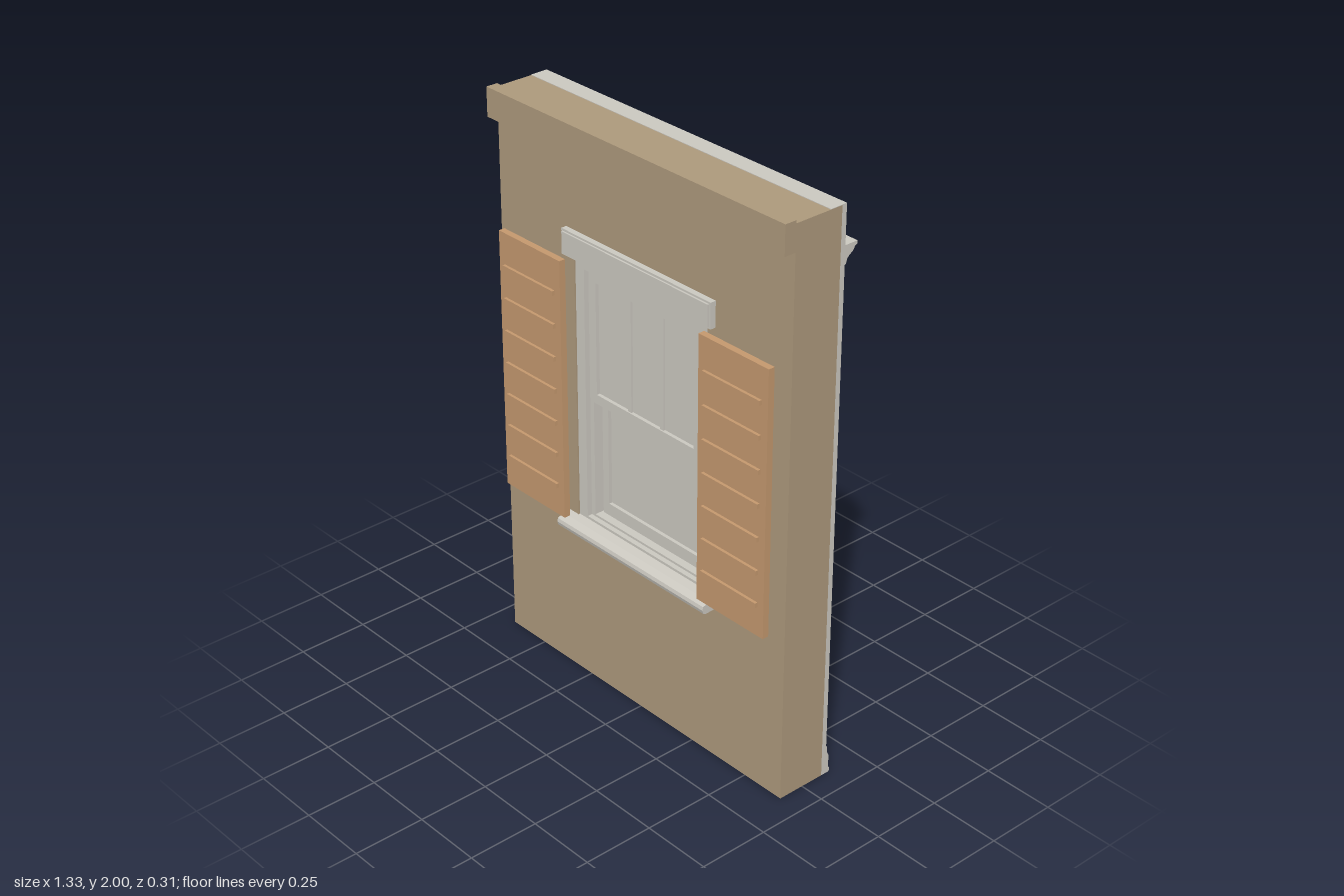
import * as THREE from 'three';

export function createModel() {
  const group = new THREE.Group();
  const mat = (name, color) => {
    const m = new THREE.MeshStandardMaterial({ color });
    m.name = name;
    return m;
  };
  const siding = mat('tan siding', 0xad997c);
  const white = mat('off-white trim', 0xcbc8c0);
  const wood = mat('orange shutter wood', 0xc4986e);

  const add = (name, geometry, material) => {
    const mesh = new THREE.Mesh(geometry, material);
    mesh.name = name;
    group.add(mesh);
    return mesh;
  };
  // Box given by its limits on each axis
  const box = (name, m, x0, x1, y0, y1, z0, z1) => {
    const g = new THREE.BoxGeometry(x1 - x0, y1 - y0, z1 - z0);
    g.translate((x0 + x1) / 2, (y0 + y1) / 2, (z0 + z1) / 2);
    return add(name, g, m);
  };
  // Symmetric rectangular frame: outer and inner are [halfWidth, bottom, top]
  const rect = (P, [w, b, t]) => {
    const p = new P();
    p.moveTo(-w, b); p.lineTo(w, b); p.lineTo(w, t); p.lineTo(-w, t); p.closePath();
    return p;
  };
  const frame = (name, m, outer, inner, z0, z1) => {
    const s = rect(THREE.Shape, outer);
    s.holes.push(rect(THREE.Path, inner));
    const g = new THREE.ExtrudeGeometry(s, { depth: z1 - z0, bevelEnabled: false });
    g.translate(0, 0, z0);
    return add(name, g, m);
  };
  // Moulding with a [z, y] profile run along x
  const moulding = (name, m, profile, half) => {
    const s = new THREE.Shape(profile.map(p => new THREE.Vector2(...p)));
    const g = new THREE.ExtrudeGeometry(s, { depth: half * 2, bevelEnabled: false });
    g.translate(0, 0, -half);
    g.rotateY(-Math.PI / 2);
    return add(name, g, m);
  };

  // Wall, inner plaster and top coping
  const W = 0.663, opening = [0.305, 0.595, 1.54];
  frame('wall', siding, [W, 0, 1.99], opening, -0.085, 0.095);
  frame('plaster', white, [W, 0, 1.99], opening, -0.103, -0.085);
  box('plasterTop', white, -W, W, 1.988, 1.992, -0.103, -0.04);
  box('coping', siding, -W, W, 1.9, 2, 0.095, 0.137);

  // Inside crown moulding and baseboard
  moulding('crownMoulding', white, [[-0.1, 1.795], [-0.108, 1.8], [-0.112, 1.815],
    [-0.122, 1.825], [-0.135, 1.833], [-0.142, 1.845], [-0.152, 1.85], [-0.152, 1.86], [-0.1, 1.86]], W);
  moulding('baseboard', white, [[-0.1, 0], [-0.119, 0], [-0.119, 0.015], [-0.115, 0.02],
    [-0.115, 0.065], [-0.108, 0.08], [-0.108, 0.1], [-0.1, 0.11]], W);

  // Window jambs, stepping in towards the front
  frame('innerJamb', white, opening, [0.293, 0.61, 1.53], -0.104, 0);
  frame('outerFrame', white, opening, [0.265, 0.612, 1.505], 0, 0.09);
  frame('sashStop', white, [0.27, 0.605, 1.51], [0.247, 0.62, 1.5], 0.005, 0.072);

  // Sashes: a frame, a pane and rails
  const sash = (name, half, stile, y0, y1, bottomRail, topRail, z0, z1) => {
    frame(name + 'Frame', white, [half, y0, y1],
      [half - stile, y0 + bottomRail, y1 - topRail], z0, z1);
    const z = (z0 + z1) / 2;
    box(name + 'Pane', white, -half + 0.01, half - 0.01, y0 + 0.01, y1 - 0.01, z - 0.003, z + 0.003);
  };
  sash('upperSash', 0.255, 0.028, 1.04, 1.497, 0.033, 0.03, 0.045, 0.076);
  sash('lowerSash', 0.24, 0.028, 0.617, 1.07, 0.047, 0.03, 0.012, 0.043);
  for (const x of [-0.075, 0.075])
    box('muntin', white, x - 0.008, x + 0.008, 1.07, 1.47, 0.05, 0.071);

  // Outside head and sill
  box('outerHead', white, -0.34, 0.34, 1.54, 1.628, 0.09, 0.115);
  box('outerHeadFace', white, -0.333, 0.333, 1.547, 1.621, 0.115, 0.121);
  moulding('outerSill', white, [[0.09, 0.56], [0.135, 0.557], [0.144, 0.562], [0.148, 0.575],
    [0.145, 0.587], [0.12, 0.597], [0.09, 0.603]], 0.352);

  // Inside casing, head, cap, stool and apron
  for (const s of [-1, 1]) {
    const side = (name, a, b, z) =>
      box(name, white, Math.min(s * a, s * b), Math.max(s * a, s * b), 0.615, 1.54, z, -0.1);
    side('sideCasing', 0.293, 0.345, -0.113);
    side('casingBead', 0.335, 0.35, -0.118);
  }
  box('innerHead', white, -0.35, 0.35, 1.54, 1.615, -0.115, -0.1);
  box('headBead', white, -0.358, 0.358, 1.532, 1.545, -0.121, -0.1);
  box('headCap', white, -0.378, 0.378, 1.612, 1.627, -0.13, -0.1);
  moulding('stool', white, [[-0.1, 0.6], [-0.128, 0.6], [-0.134, 0.605], [-0.134, 0.614],
    [-0.128, 0.619], [-0.1, 0.619]], 0.388);
  moulding('apron', white, [[-0.1, 0.545], [-0.108, 0.545], [-0.114, 0.56], [-0.114, 0.6], [-0.1, 0.6]], 0.35);

  // Shutters with seven raised slats each
  for (const s of [-1, 1]) {
    box('shutter', wood, s * 0.468 - 0.149, s * 0.468 + 0.149, 0.602, 1.53, 0.12, 0.143);
    for (let i = 0; i < 7; i++) {
      const y = 0.714 + i * 0.1163;
      box('shutterSlat', wood, s * 0.468 - 0.123, s * 0.468 + 0.123, y - 0.008, y + 0.008, 0.14, 0.153);
    }
  }
  return group;
}
